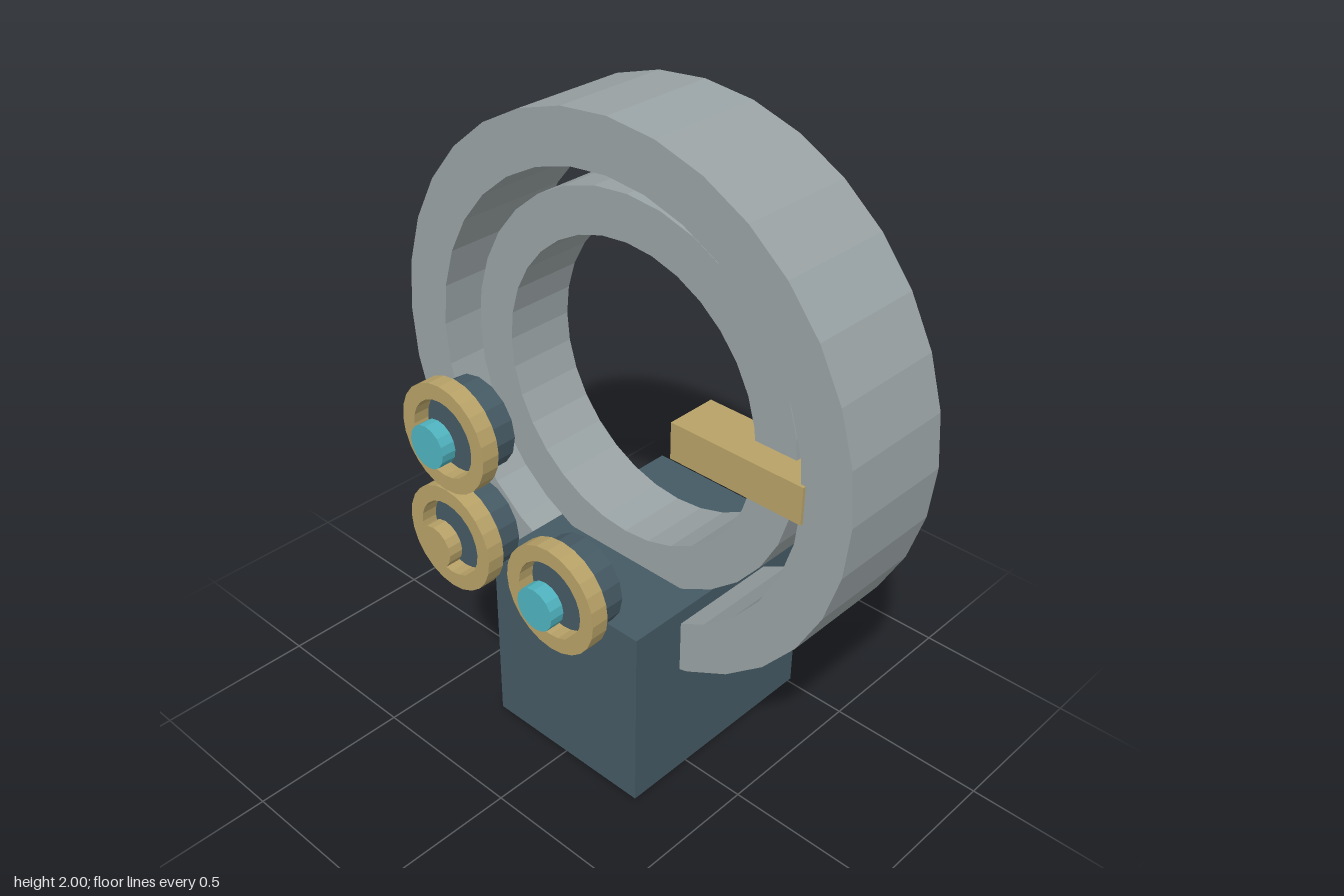
import * as THREE from 'three';

const mat = (name, color, extra = {}) => {
  const m = new THREE.MeshStandardMaterial({ color, flatShading: true, ...extra });
  m.name = name;
  return m;
};

export function createModel() {
  const model = new THREE.Group();
  model.name = 'ringMachine';
  const grey = mat('ringGrey', 0x9aa3a5, { side: THREE.DoubleSide });
  const slate = mat('slate', 0x455a64);
  const brass = mat('brass', 0xb8a268);
  const cyan = mat('cyan', 0x4fb3bf);

  const add = (parent, name, geometry, material, x, y, z) => {
    const mesh = new THREE.Mesh(geometry, material);
    mesh.name = name;
    mesh.position.set(x, y, z);
    parent.add(mesh);
    return mesh;
  };

  // Revolves a [radius, z] profile around the z axis
  const lathe = (profile, sides) =>
    new THREE.LatheGeometry(profile.map(([r, z]) => new THREE.Vector2(r, z)), sides).rotateX(Math.PI / 2);
  // Solid disc with its axis along z
  const disc = (r, depth, sides) => new THREE.CylinderGeometry(r, r, depth, sides).rotateX(Math.PI / 2);

  // Base block
  add(model, 'base', new THREE.BoxGeometry(0.58, 0.608, 0.74), slate, 0, 0.304, -0.145);

  // Two concentric channel rings, open at the back
  const channel = (inner, outer, back, front) =>
    lathe([[outer, back], [outer, front], [inner, front], [inner, back]], 32);
  add(model, 'outerRing', channel(0.675, 0.832, -0.33, 0.04), grey, 0, 1.168, 0);
  add(model, 'innerRing', channel(0.465, 0.602, -0.265, -0.035), grey, 0, 1.168, 0);

  // Side bar through the rings
  add(model, 'bar', new THREE.BoxGeometry(0.44, 0.114, 0.16), brass, 0.464, 1.167, -0.03);

  // Dials: dark hub, brass rim and a floating button
  const rim = lathe([[0.115, 0.41], [0.162, 0.41], [0.162, 0.464], [0.115, 0.464], [0.115, 0.41]], 24);
  const dials = [
    ['upperDial', -0.198, 1.166, cyan],
    ['lowerRightDial', -0.198, 0.84, brass],
    ['lowerLeftDial', 0.198, 0.84, cyan],
  ];
  for (const [name, x, y, buttonMaterial] of dials) {
    const dial = new THREE.Group();
    dial.name = name;
    dial.position.set(x, y, 0);
    add(dial, 'hub', disc(0.133, 0.09, 16), slate, 0, 0, 0.37);
    add(dial, 'rim', rim, brass, 0, 0, 0);
    add(dial, 'button', disc(0.064, 0.044, 16), buttonMaterial, 0, 0, 0.496);
    model.add(dial);
  }
  return model;
}
